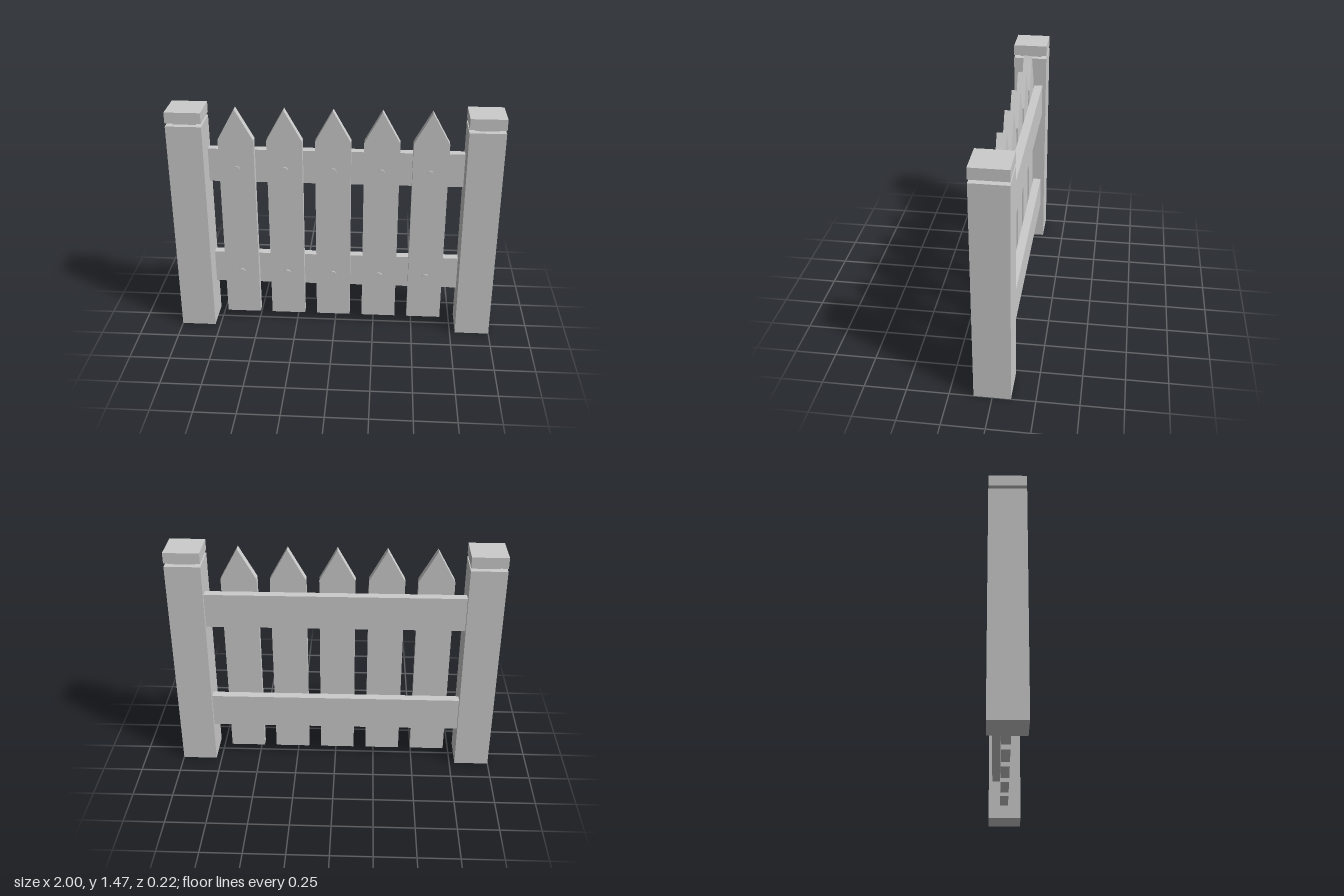
import * as THREE from 'three';

export function createModel() {
  const group = new THREE.Group();
  const material = new THREE.MeshStandardMaterial({ color: 0xcccccc, flatShading: true });

  function add(name, geometry, x, y, z, parent = group) {
    const mesh = new THREE.Mesh(geometry, material);
    mesh.name = name;
    mesh.position.set(x, y, z);
    parent.add(mesh);
    return mesh;
  }

  // Posts with a recessed neck and a flat cap
  for (const side of [-1, 1]) {
    const post = new THREE.Group();
    post.name = side > 0 ? 'leftPost' : 'rightPost';
    post.position.x = side * 0.892;
    group.add(post);
    add('postShaft', new THREE.BoxGeometry(0.216, 1.38, 0.216), 0, 0.69, 0, post);
    add('postNeck', new THREE.BoxGeometry(0.14, 0.02, 0.14), 0, 1.39, 0, post);
    add('postCap', new THREE.BoxGeometry(0.216, 0.067, 0.216), 0, 1.4335, 0, post);
  }

  // Horizontal rails behind the pickets
  const railGeometry = new THREE.BoxGeometry(1.59, 0.215, 0.053);
  add('lowerRail', railGeometry, 0, 0.364, -0.0575);
  add('upperRail', railGeometry, 0, 1.082, -0.0575);

  // Pointed picket outline
  const outline = new THREE.Shape();
  outline.moveTo(-0.108, 0.06);
  outline.lineTo(0.108, 0.06);
  outline.lineTo(0.108, 1.27);
  outline.lineTo(0, 1.465);
  outline.lineTo(-0.108, 1.27);
  outline.closePath();
  const picketGeometry = new THREE.ExtrudeGeometry(outline, { depth: 0.053, bevelEnabled: false });

  // Nail heads, axis along z
  const nailGeometry = new THREE.CylinderGeometry(0.02, 0.02, 0.02, 16);
  nailGeometry.rotateX(Math.PI / 2);

  for (let i = 0; i < 5; i++) {
    const x = -0.601 + i * 0.2945;
    add('picket', picketGeometry, x, 0, -0.031);
    for (const y of [0.362, 1.081]) add('nailHead', nailGeometry, x, y, 0.02);
  }

  return group;
}
